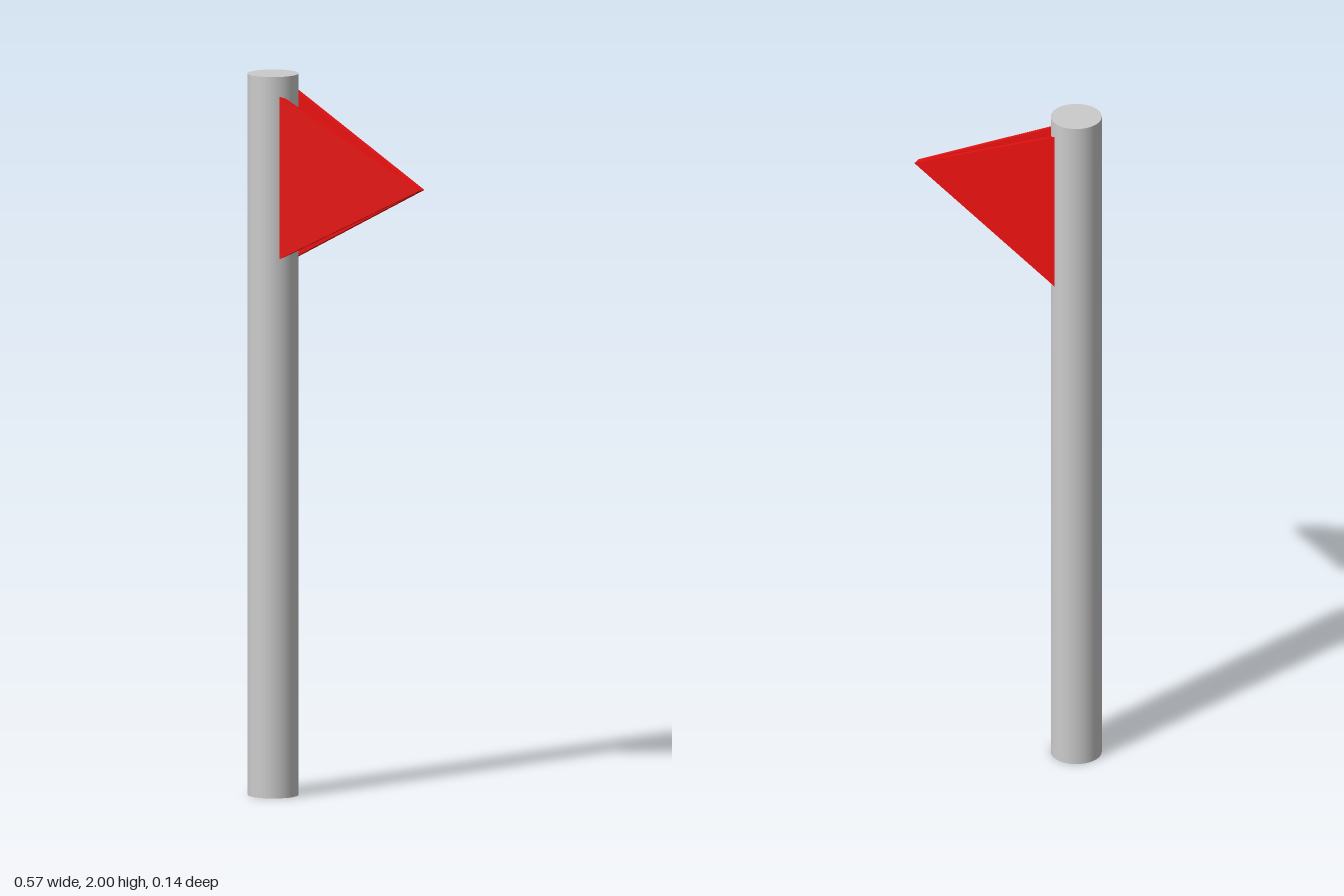
import * as THREE from 'three';

const TIP_X = 0.285;
const TIP_Y = 1.72;
const THICKNESS = 0.014;

// Triangular panel with its tip at the origin, running back along -x
function pennantGeometry(length) {
  const shape = new THREE.Shape([
    new THREE.Vector2(-length, -length / 2),
    new THREE.Vector2(0, 0),
    new THREE.Vector2(-length, length / 2),
  ]);
  const geometry = new THREE.ExtrudeGeometry(shape, { depth: THICKNESS, bevelEnabled: false });
  return geometry.translate(0, 0, -THICKNESS / 2);
}

export function createModel() {
  const model = new THREE.Group();
  model.name = 'pennantFlag';
  const grey = new THREE.MeshStandardMaterial({ color: 0xcccccc });
  const red = new THREE.MeshStandardMaterial({ color: 0xe81010 });

  // Upright round pole
  const pole = new THREE.Mesh(new THREE.CylinderGeometry(0.07, 0.07, 2, 48), grey);
  pole.name = 'pole';
  pole.position.set(-0.217, 1, 0);
  model.add(pole);

  // Two panels spread from the shared tip, sunk into the pole
  const geometry = pennantGeometry(0.495);
  for (const [name, side, z] of [['frontPennant', 1, -0.002], ['backPennant', -1, -0.013]]) {
    const panel = new THREE.Mesh(geometry, red);
    panel.name = name;
    panel.position.set(TIP_X, TIP_Y, z);
    panel.rotation.y = side * THREE.MathUtils.degToRad(5);
    model.add(panel);
  }
  return model;
}
